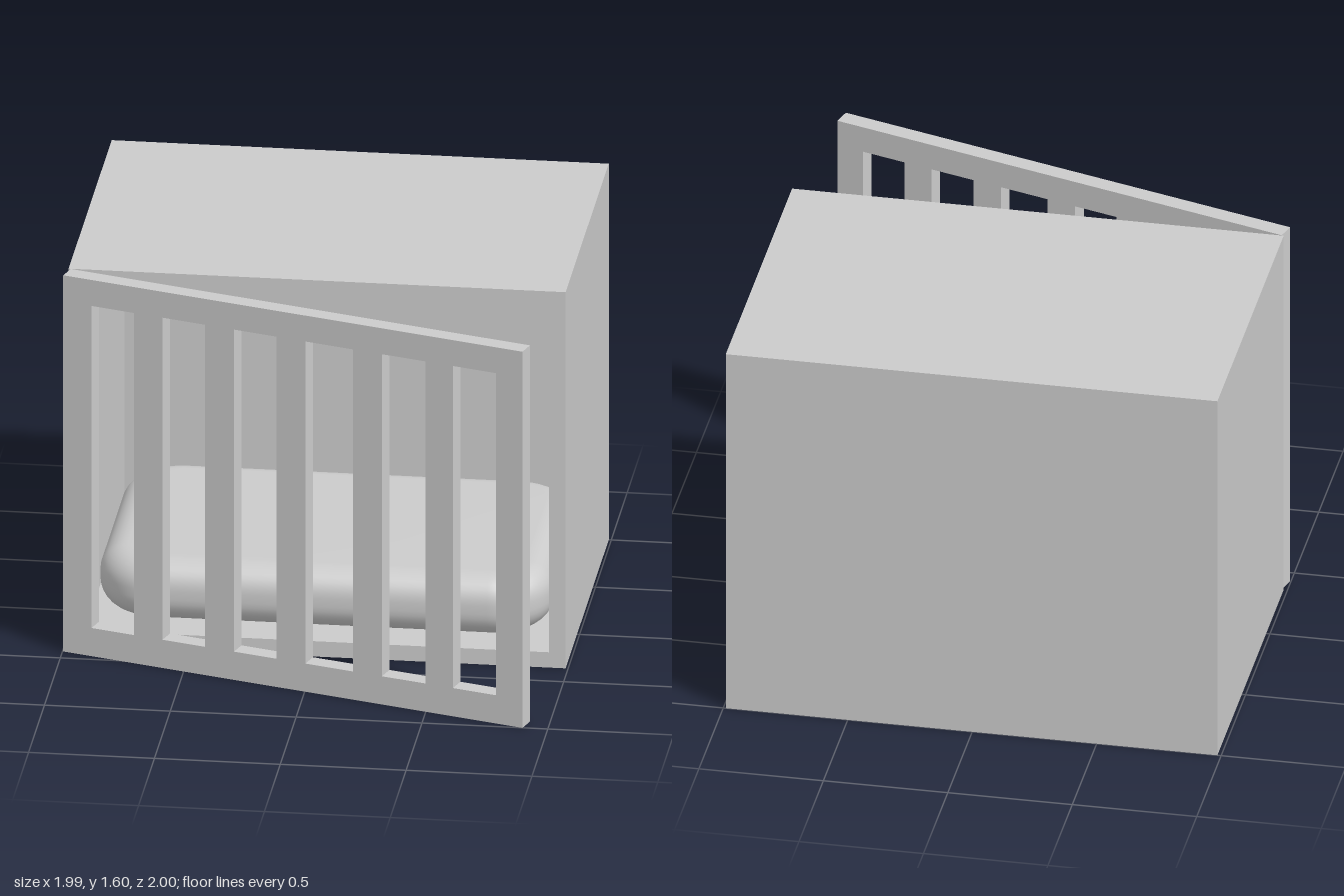
import * as THREE from 'three';
import { toCreasedNormals } from 'three/addons/utils/BufferGeometryUtils.js';

const grey = new THREE.MeshStandardMaterial({ color: 0xcccccc });

function addPart(parent, name, geometry, x = 0, y = 0, z = 0) {
  const mesh = new THREE.Mesh(geometry, grey);
  mesh.name = name;
  mesh.position.set(x, y, z);
  parent.add(mesh);
  return mesh;
}

function rect(path, x0, y0, x1, y1) {
  path.moveTo(x0, y0);
  path.lineTo(x1, y0);
  path.lineTo(x1, y1);
  path.lineTo(x0, y1);
  path.closePath();
  return path;
}

// Rectangular panel with rectangular openings, extruded along z
function panel(width, height, depth, openings) {
  const shape = rect(new THREE.Shape(), 0, 0, width, height);
  for (const o of openings) shape.holes.push(rect(new THREE.Path(), ...o));
  return new THREE.ExtrudeGeometry(shape, { depth, bevelEnabled: false });
}

// Soft pad: rounded outline in plan with a rounded edge all round
function padGeometry(width, height, depth, corner, edge) {
  const w = width / 2 - edge, d = depth / 2 - edge, r = corner - edge;
  const s = new THREE.Shape();
  s.absarc(w - r, d - r, r, 0, Math.PI / 2);
  s.absarc(-w + r, d - r, r, Math.PI / 2, Math.PI);
  s.absarc(-w + r, -d + r, r, Math.PI, Math.PI * 1.5);
  s.absarc(w - r, -d + r, r, Math.PI * 1.5, Math.PI * 2);
  const g = new THREE.ExtrudeGeometry(s, {
    depth: height - 2 * edge, bevelThickness: edge, bevelSize: edge,
    bevelSegments: 8, curveSegments: 10,
  });
  g.rotateX(-Math.PI / 2);
  g.translate(0, edge, 0);
  return toCreasedNormals(g, 0.9);
}

export function createModel() {
  const group = new THREE.Group();
  const W = 1.975, H = 1.6, wall = 0.065, left = -0.985;
  const back = -1, front = 0.36, backWall = 0.12;

  // Crate body, open at the front
  const crate = new THREE.Group();
  crate.name = 'crate';
  group.add(crate);
  addPart(crate, 'crateWalls',
    panel(W, H, front - back - backWall, [[wall, wall, W - wall, H - wall]]),
    left, 0, back + backWall);
  addPart(crate, 'crateBack', new THREE.BoxGeometry(W, H, backWall),
    left + W / 2, H / 2, back + backWall / 2);

  // Cushion on the crate floor
  addPart(group, 'cushion', padGeometry(1.8, 0.255, 1.14, 0.24, 0.11),
    left + W / 2, wall, -0.3);

  // Barred door standing ajar, hinged at one side
  const slots = [
    [0.122, 0.306], [0.428, 0.611], [0.736, 0.920],
    [1.044, 1.250], [1.374, 1.561], [1.680, 1.865],
  ].map(([a, b]) => [a, 0.12, b, 1.49]);
  const door = addPart(group, 'barredDoor', panel(1.98, H, 0.073, slots),
    -0.976, 0, 0.362);
  door.rotation.y = -THREE.MathUtils.degToRad(16.7);

  return group;
}
